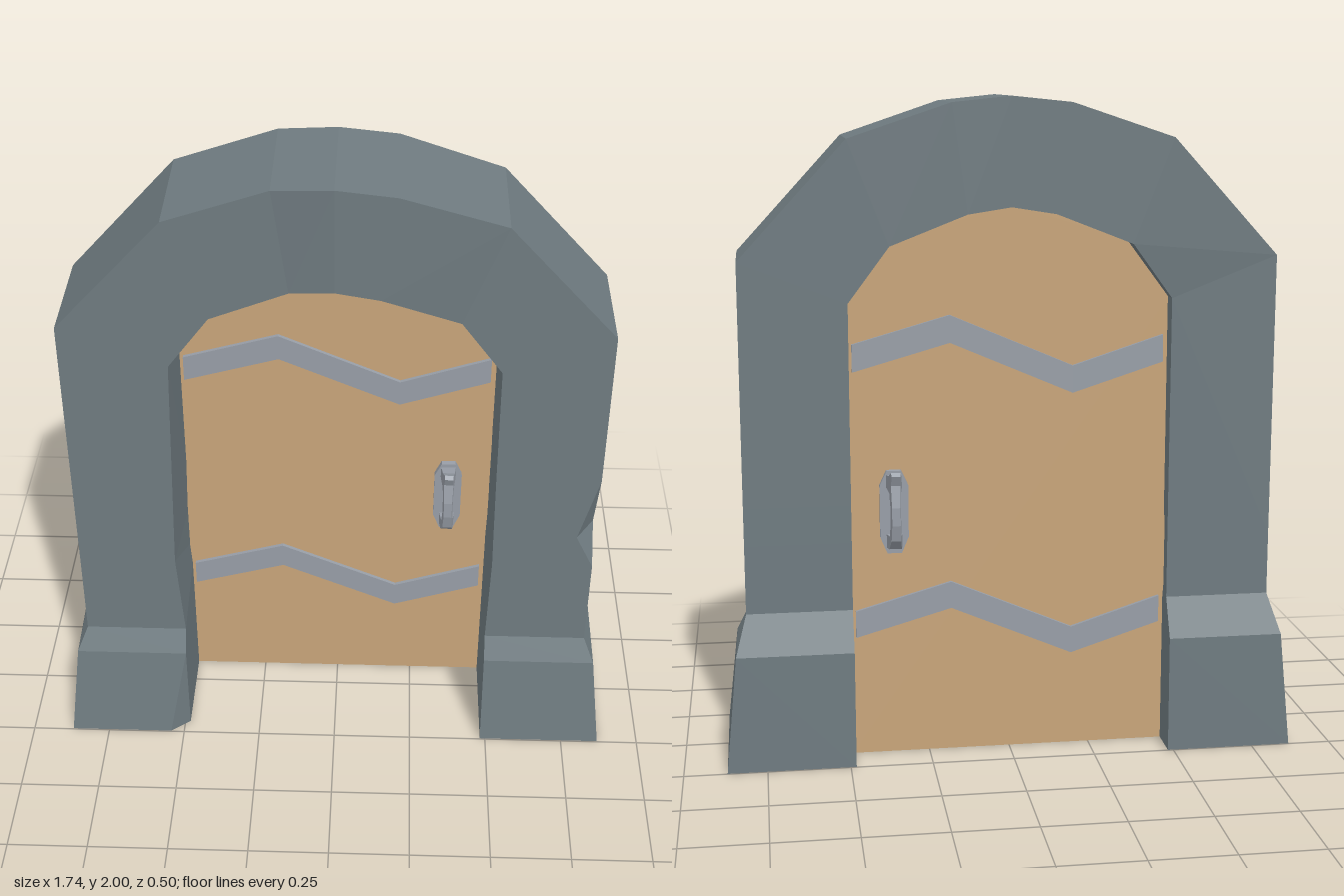
import * as THREE from 'three';

const material = (color) =>
  new THREE.MeshStandardMaterial({ color, flatShading: true });

const stone = material(0x6f7b80);
const wood = material(0xc8a57a);
const iron = material(0x989ea7);

const DOOR_FRONT = -0.09, DOOR_BACK = -0.135;

function addMesh(parent, name, geometry, mat) {
  const mesh = new THREE.Mesh(geometry, mat);
  mesh.name = name;
  parent.add(mesh);
  return mesh;
}

const shapeOf = (points) => new THREE.Shape(points.map(([x, y]) => new THREE.Vector2(x, y)));

const extrude = (shape, depth) =>
  new THREE.ExtrudeGeometry(shape, { depth, bevelEnabled: false });

// Cross-section of the frame. Options: rise lifts the back corners, cutIn / cutOut
// slice the front corners by [dx, dz], frontIn shifts the inner front corner.
function section(inner, outer, zf, zb, { rise = 0, cutIn = [0, 0], cutOut = [0, 0], frontIn = 0 } = {}) {
  const [ix, iy] = inner, [ox, oy] = outer;
  const s = Math.sign(ox - ix) || 0;
  return [
    [ix + s * (cutIn[0] + frontIn), iy, zf],
    [ox - s * cutOut[0], oy, zf],
    [ox, oy, zf - cutOut[1]],
    [ox, oy + rise, zb],
    [ix, iy + rise, zb],
    [ix + s * frontIn, iy, zf - cutIn[1]],
  ];
}

// Skin a list of sections, with a cap on each end
function loft(rings) {
  const pos = [];
  const tri = (...pts) => {
    const [a, b, c] = pts.map((p) => new THREE.Vector3(...p));
    if (b.sub(a).cross(c.sub(a)).length() > 1e-7) pts.forEach((p) => pos.push(...p));
  };
  for (let k = 0; k + 1 < rings.length; k++) {
    const r = rings[k], q = rings[k + 1], n = r.length;
    for (let j = 0; j < n; j++) {
      const i = (j + 1) % n;
      tri(r[j], q[j], q[i]);
      tri(r[j], q[i], r[i]);
    }
  }
  const first = rings[0], last = rings[rings.length - 1];
  for (let i = 1; i + 1 < first.length; i++) {
    tri(first[0], first[i], first[i + 1]);
    tri(last[0], last[i + 1], last[i]);
  }
  const geo = new THREE.BufferGeometry();
  geo.setAttribute('position', new THREE.Float32BufferAttribute(pos, 3));
  geo.computeVertexNormals();
  return geo;
}

// Flared foot of one leg, listed from the ground up
function foot(side, cutIn) {
  const at = (y, outer, zf, zb, opt) =>
    section([side * 0.483, y], [side * outer, y], zf, zb, opt);
  return [
    at(0, 0.87, 0.247, -0.248, { cutIn }),
    at(0.31, 0.835, 0.202, -0.245, { rise: 0.05 }),
    at(0.385, 0.802, 0.165, -0.187, { rise: 0.092 }),
  ];
}

function frameGeometry() {
  const leg = (side, y, opt) =>
    section([side * 0.483, y], [side * 0.802, y], 0.163, -0.187, opt);
  return loft([
    // left-hand leg in the front view, with a worn inner edge
    ...foot(-1, [0.06, 0.047]),
    leg(-1, 0.67, { frontIn: 0.02 }),
    // arch
    section([-0.483, 1.405], [-0.802, 1.53], 0.163, -0.19),
    section([-0.36, 1.57], [-0.48, 1.88], 0.163, -0.208),
    section([-0.13, 1.66], [-0.175, 1.982], 0.163, -0.21),
    section([0, 1.68], [0, 2], 0.19, -0.19),
    section([0.13, 1.66], [0.175, 1.982], 0.193, -0.19),
    section([0.36, 1.57], [0.48, 1.88], 0.163, -0.19),
    section([0.483, 1.405], [0.802, 1.53], 0.163, -0.187),
    // other leg, with a chip in the outer front edge
    leg(1, 1.02, { frontIn: 0.003 }),
    leg(1, 0.8, { frontIn: 0.006, cutOut: [0.057, 0.088] }),
    leg(1, 0.685, { frontIn: 0.008 }),
    ...foot(1, [0, 0]).reverse(),
  ]);
}

function doorGeometry() {
  const half = [[0.488, 0], [0.488, 1.41], [0.365, 1.575], [0.13, 1.665]];
  const left = half.map(([x, y]) => [-x, y]).reverse();
  const geo = extrude(shapeOf([...half, [0, 1.685], ...left]), DOOR_FRONT - DOOR_BACK);
  return geo.translate(0, 0, DOOR_BACK);
}

// Zigzag iron band lying on the plane z = 0
function strapGeometry(y) {
  const top = [[-0.472, 0.08], [-0.18, 0.163], [0.192, 0.003], [0.468, 0.092]];
  const low = top.map(([x, h]) => [x, h - 0.083]).reverse();
  return extrude(shapeOf([...top, ...low].map(([x, h]) => [x, y + h])), 0.012);
}

// Handle pointing along +z from z = 0: octagonal plate and a pierced grip
function makeHandle(name) {
  const handle = new THREE.Group();
  handle.name = name;
  const plate = [[0.022, -0.13], [0.043, -0.08], [0.043, 0.08], [0.022, 0.125]];
  const mirrored = plate.map(([x, y]) => [-x, y]).reverse();
  addMesh(handle, 'handlePlate', extrude(shapeOf([...plate, ...mirrored]), 0.018), iron);

  const grip = shapeOf([[0, -0.115], [0.055, -0.107], [0.088, -0.075], [0.1, -0.025], [0.1, 0.03],
    [0.087, 0.095], [0.1, 0.125], [0.09, 0.135], [0.055, 0.118], [0, 0.11]]);
  grip.holes.push(new THREE.Path([[0.018, -0.07], [0.062, -0.065], [0.075, -0.03], [0.075, 0.03],
    [0.062, 0.068], [0.018, 0.075]].map(([x, y]) => new THREE.Vector2(x, y))));
  const geo = extrude(grip, 0.05).translate(0, 0, -0.025).rotateY(-Math.PI / 2);
  // narrow the grip towards its outer side
  const p = geo.attributes.position;
  for (let i = 0; i < p.count; i++) p.setX(i, p.getX(i) * (1 - 5.5 * Math.max(0, p.getZ(i) - 0.01)));
  geo.computeVertexNormals();
  addMesh(handle, 'handleGrip', geo, iron);
  return handle;
}

export function createModel() {
  const model = new THREE.Group();
  model.name = 'archedDoor';

  addMesh(model, 'stoneFrame', frameGeometry(), stone);
  addMesh(model, 'doorPanel', doorGeometry(), wood);

  // bands and handle on both faces of the door
  for (const back of [false, true]) {
    const face = back ? 'back' : 'front';
    const z = back ? DOOR_BACK : DOOR_FRONT;
    const turn = back ? Math.PI : 0;
    [['Lower', 0.378], ['Upper', 1.198]].forEach(([level, y]) => {
      const strap = addMesh(model, `${face}${level}Strap`, strapGeometry(y), iron);
      strap.position.z = z;
      strap.rotation.y = turn;
    });
    const handle = makeHandle(`${face}Handle`);
    handle.position.set(0.352, 0.77, z);
    handle.rotation.y = turn;
    model.add(handle);
  }
  return model;
}
